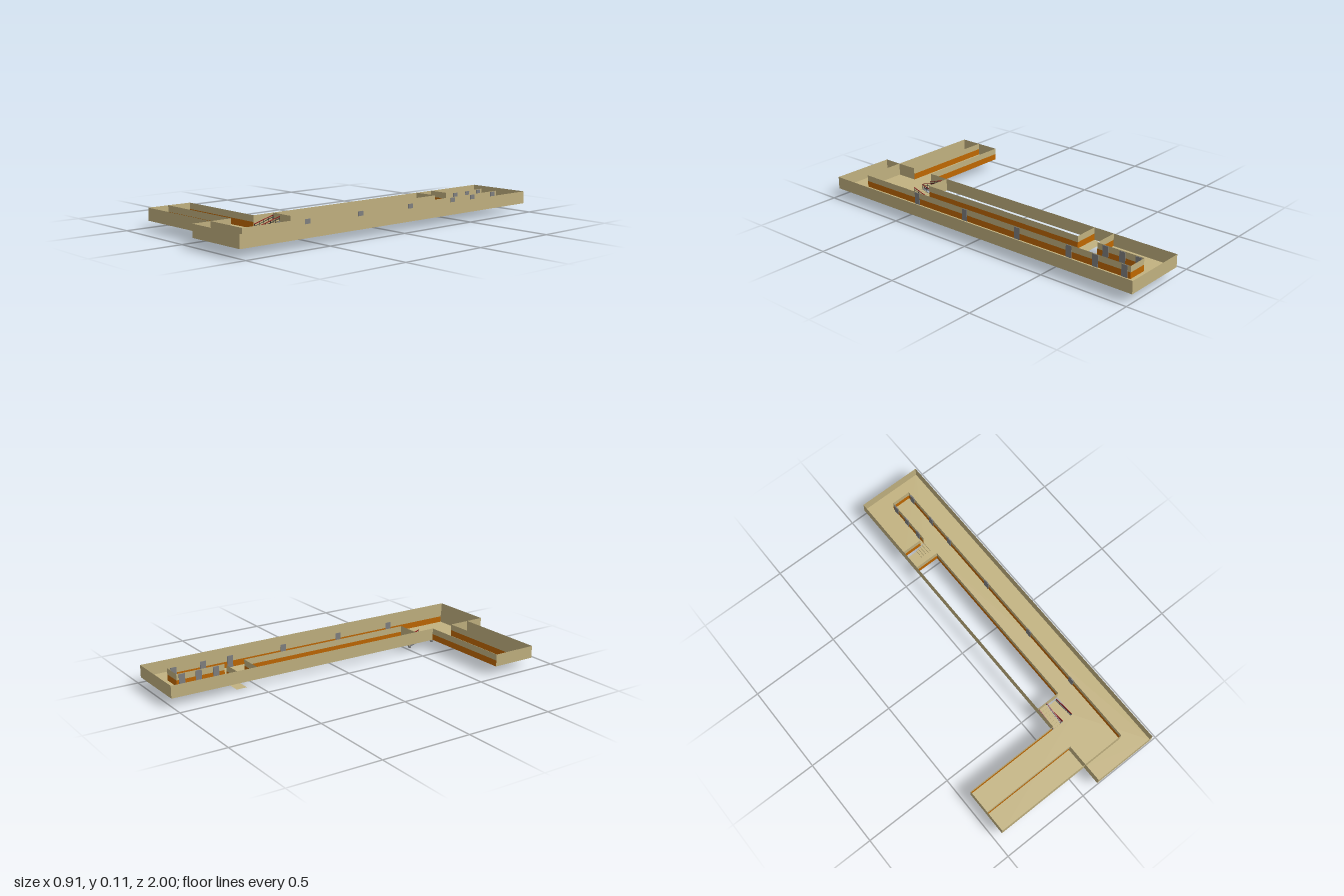
import * as THREE from 'three';

const FLOOR = 0.045, DADO = 0.079, TOP = 0.113;

function material(name, color) {
  const m = new THREE.MeshStandardMaterial({ color, side: THREE.DoubleSide });
  m.name = name;
  return m;
}

export function createModel() {
  const model = new THREE.Group();
  model.name = 'corridorFloor';
  const sand = material('sand', 0xc2b280);
  const orange = material('orange', 0xc06800);
  const grey = material('grey', 0x808080);
  const red = material('darkRed', 0x8b1a1a);
  const black = material('charcoal', 0x2c2c2c);

  function add(name, geometry, mat, x = 0, y = 0, z = 0, parent = model) {
    const mesh = new THREE.Mesh(geometry, mat);
    mesh.name = name;
    mesh.position.set(x, y, z);
    parent.add(mesh);
    return mesh;
  }
  const box = (name, mat, w, h, d, x, y, z, parent) =>
    add(name, new THREE.BoxGeometry(w, h, d), mat, x, y, z, parent);

  // Upright sheet between two plan points
  function panel(name, mat, [x1, z1], [x2, z2], y0, y1) {
    const g = new THREE.PlaneGeometry(Math.hypot(x2 - x1, z2 - z1), y1 - y0);
    const mesh = add(name, g, mat, (x1 + x2) / 2, (y0 + y1) / 2, (z1 + z2) / 2);
    mesh.rotation.y = -Math.atan2(z2 - z1, x2 - x1);
  }
  // Horizontal sheet from a plan outline
  function slab(name, points, y) {
    const shape = new THREE.Shape(points.map(([x, z]) => new THREE.Vector2(x, -z)));
    const g = new THREE.ShapeGeometry(shape);
    g.rotateX(-Math.PI / 2);
    add(name, g, sand, 0, y, 0);
  }
  // Thin bar between two points in a plane of constant x
  function bar(name, mat, x, [y1, z1], [y2, z2], w, h, parent) {
    const b = box(name, mat, w, h, Math.hypot(y2 - y1, z2 - z1), x, (y1 + y2) / 2, (z1 + z2) / 2, parent);
    b.rotation.x = -Math.atan2(y2 - y1, z2 - z1);
  }

  // Floor plan
  slab('floor', [[0.457, -1], [0.457, 1], [0.09, 1], [0.09, 0.895], [-0.457, 0.895], [-0.457, 0.64],
    [0.228, 0.64], [0.228, -0.512], [0.09, -0.512], [0.105, -0.57], [0.228, -0.57],
    [0.228, -0.63], [0.09, -0.63], [0.09, -1]], FLOOR);

  // Plain full-height walls
  const plainWalls = [
    [[0.457, -1], [0.457, 1]], [[0.09, -1], [0.457, -1]], [[0.09, 1], [0.457, 1]],
    [[0.09, -1], [0.09, 0.64]], [[0.09, 0.775], [0.09, 1]],
    [[-0.457, 0.64], [-0.457, 0.895]], [[-0.457, 0.895], [0.335, 0.895]],
    [[0.09, 0.517], [0.228, 0.517]],
  ];
  for (const [a, b] of plainWalls) panel('outerWall', sand, a, b, FLOOR, TOP);

  // Two-tone corridor walls
  const tonedWalls = [
    [[0.335, -0.905], [0.335, 0.895]], [[0.226, -0.905], [0.335, -0.905]],
    [[0.226, -0.905], [0.226, -0.63]], [[0.09, -0.63], [0.205, -0.63]],
    [[0.09, -0.512], [0.228, -0.512]], [[0.228, -0.512], [0.228, 0.517]],
    [[-0.457, 0.64], [0.09, 0.64]], [[-0.457, 0.775], [0.09, 0.775]],
  ];
  for (const [a, b] of tonedWalls) {
    panel('wallLower', orange, a, b, FLOOR, DADO);
    panel('wallUpper', sand, a, b, DADO, TOP);
  }

  // Doors
  const doors = [[0.335, [-0.87, -0.70, -0.54, -0.21, 0.15, 0.5]], [0.226, [-0.875, -0.78, -0.68]]];
  for (const [x, zs] of doors)
    for (const z of zs) box('door', grey, 0.006, 0.065, 0.034, x, FLOOR + 0.0325, z);

  // Rear steps down to a landing
  const rear = 5;
  for (let i = 0; i < rear; i++) {
    const x1 = 0.228 - i * 0.0136, y1 = FLOOR - i * 0.007;
    panel('rearRiser', sand, [x1, -0.63], [x1, -0.57], y1 - 0.007, y1);
    slab('rearTread', [[x1 - 0.0136, -0.63], [x1 - 0.0136, -0.57], [x1, -0.57], [x1, -0.63]], y1 - 0.007);
  }
  slab('rearLanding', [[0.1, -0.63], [0.1, -0.57], [0.16, -0.57], [0.16, -0.63]], 0.01);

  // Front staircase: one flight up, one flight down
  function flight(name, xa, xb, yEnd) {
    const group = new THREE.Group();
    group.name = name;
    model.add(group);
    const n = 7, z0 = 0.64, run = 0.12 / n, rise = (yEnd - FLOOR) / n;
    for (let i = 0; i < n; i++) {
      const y = FLOOR + (i + 1) * rise, z = z0 - (i + 0.5) * run;
      box('tread', sand, xb - xa, 0.0015, run, (xa + xb) / 2, y, z, group);
      box('riser', sand, xb - xa, Math.abs(rise), 0.001, (xa + xb) / 2, y - rise / 2, z + run / 2, group);
    }
    for (const x of [xa - 0.003, xb + 0.003]) {
      bar('stringer', grey, x, [FLOOR - 0.005, z0], [yEnd - 0.005, 0.52], 0.004, 0.008, group);
      bar('handrail', red, x, [FLOOR + 0.025, z0], [yEnd + 0.022, 0.52], 0.004, 0.003, group);
      bar('middleRail', black, x, [FLOOR + 0.013, z0], [yEnd + 0.013, 0.52], 0.002, 0.002, group);
      for (let i = 0; i <= 4; i++) {
        const t = i / 4, y = FLOOR + (yEnd - FLOOR) * t;
        box('baluster', black, 0.002, 0.024, 0.002, x, y + 0.012, z0 - 0.002 - t * 0.116, group);
      }
    }
  }
  flight('upperFlight', 0.099, 0.146, 0.08);
  flight('lowerFlight', 0.162, 0.218, 0.01);

  // Stair brackets
  for (const x of [0.093, 0.155, 0.226]) box('bracket', grey, 0.014, 0.01, 0.012, x, 0.039, 0.634);
  box('footBracket', grey, 0.01, 0.011, 0.012, 0.155, 0.0055, 0.526);

  return model;
}
